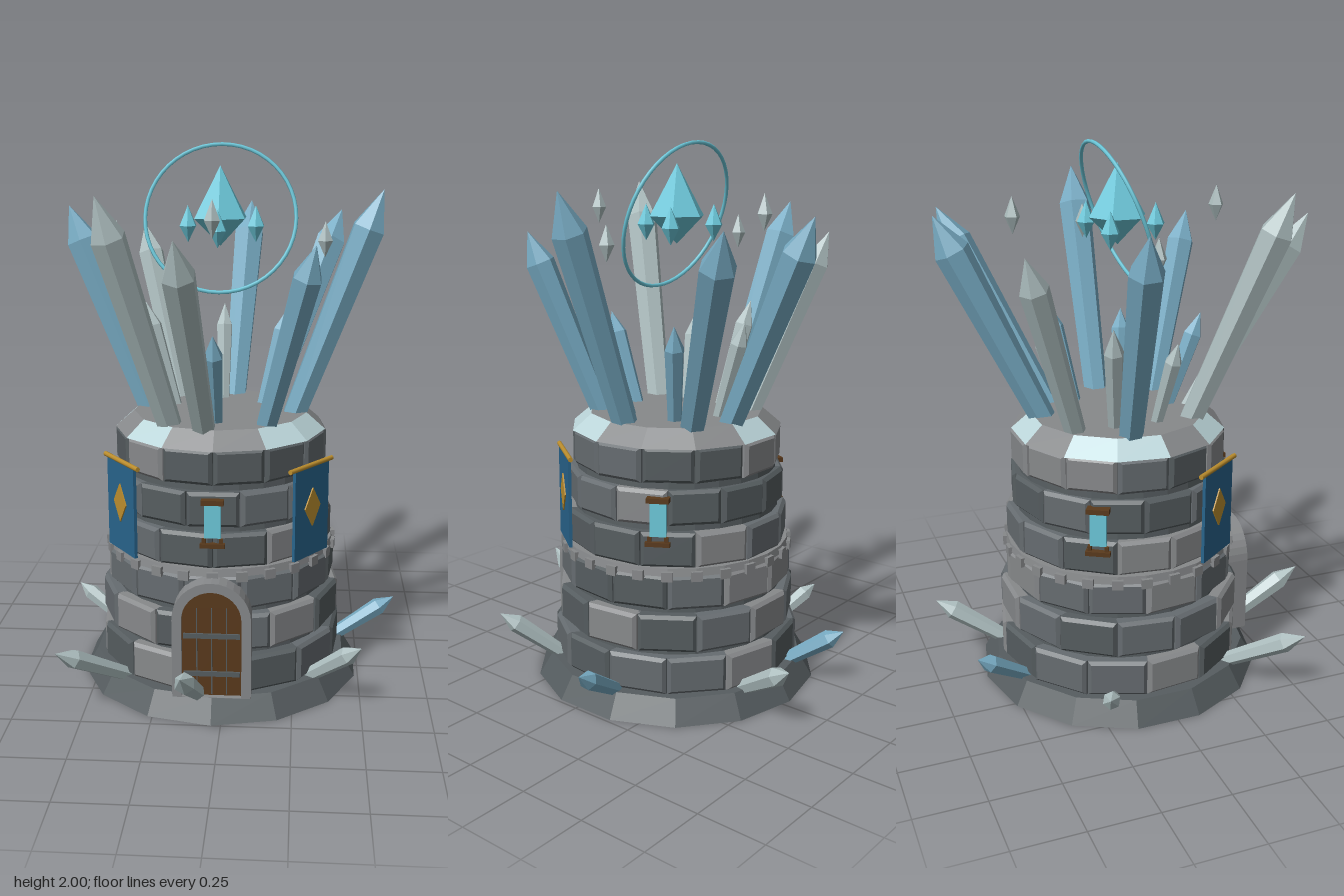
import * as THREE from 'three';

const mat = (name, color) => {
  const m = new THREE.MeshStandardMaterial({ color });
  m.name = name;
  return m;
};
const M = {
  dark: mat('darkStone', 0x565d60),
  mid: mat('midStone', 0x666c70),
  light: mat('lightStone', 0x87898b),
  wood: mat('wood', 0x5a3a1c),
  banner: mat('bannerBlue', 0x28648c),
  gold: mat('gold', 0xbd8f2e),
  glow: mat('glowCyan', 0x6cc8da),
  blue: mat('blueCrystal', 0x78acc4),
  pale: mat('paleCrystal', 0xaebfc0),
  frost: mat('frost', 0xbcd6da),
};
const C = -0.035; // tower axis in x and z

export function createModel() {
  const root = new THREE.Group();
  root.name = 'crystalTower';
  const tower = new THREE.Group();
  tower.name = 'tower';
  tower.position.set(C, 0, C);
  root.add(tower);

  let seed = 7;
  const rand = () => (seed = (seed * 16807) % 2147483647) / 2147483647;
  const flat = (g) => {
    const f = g.index ? g.toNonIndexed() : g;
    f.computeVertexNormals();
    return f;
  };
  const add = (parent, name, geo, material, x = 0, y = 0, z = 0) => {
    const m = new THREE.Mesh(geo, material);
    m.name = name;
    m.position.set(x, y, z);
    parent.add(m);
    return m;
  };
  const box = (w, h, d) => new THREE.BoxGeometry(w, h, d);
  const lathe = (pts, sides) =>
    flat(new THREE.LatheGeometry(pts.map((p) => new THREE.Vector2(...p)), sides));
  // Group on the wall, its local +z pointing outward; angle measured from +z towards +x
  const wallGroup = (name, angle, r) => {
    const g = new THREE.Group();
    g.name = name;
    g.rotation.y = angle;
    g.position.set(Math.sin(angle) * r, 0, Math.cos(angle) * r);
    tower.add(g);
    return g;
  };

  // Plinth and inner core
  add(tower, 'plinth', flat(new THREE.CylinderGeometry(0.485, 0.535, 0.085, 14)), M.dark, 0, 0.0425, 0);
  add(tower, 'core', flat(new THREE.CylinderGeometry(0.365, 0.425, 0.9, 26)), M.dark, 0, 0.525, 0);

  // Bevelled bricks in staggered rows: [bottom, top, radius]
  const rows = [
    [0.085, 0.22, 0.455], [0.24, 0.375, 0.445], [0.395, 0.52, 0.43],
    [0.545, 0.672, 0.415], [0.693, 0.82, 0.402], [0.842, 0.968, 0.39],
  ];
  const perRow = 13, bevel = 0.012;
  rows.forEach(([y0, y1, r], row) => {
    const w = 2 * r * Math.tan(Math.PI / perRow) - 0.012 - 2 * bevel;
    const h = y1 - y0 - 2 * bevel;
    const s = new THREE.Shape();
    s.moveTo(-w / 2, -h / 2).lineTo(w / 2, -h / 2).lineTo(w / 2, h / 2).lineTo(-w / 2, h / 2);
    const geo = new THREE.ExtrudeGeometry(s, {
      depth: 0.035, bevelEnabled: true, bevelThickness: bevel, bevelSize: bevel, bevelSegments: 1,
    });
    geo.translate(0, 0, -0.035 - bevel);
    for (let i = 0; i < perRow; i++) {
      const a = ((i + (row % 2) / 2) / perRow) * Math.PI * 2;
      const t = rand();
      const b = add(tower, 'brick', geo, t < 0.4 ? M.dark : t < 0.78 ? M.mid : M.light);
      const rr = r - rand() * 0.008;
      b.position.set(Math.sin(a) * rr, (y0 + y1) / 2, Math.cos(a) * rr);
      b.rotation.y = a;
    }
  });

  // Belt course with small teeth
  add(tower, 'belt', flat(new THREE.CylinderGeometry(0.425, 0.43, 0.028, 26)), M.light, 0, 0.533, 0);
  for (let i = 0; i < 26; i++) {
    const g = wallGroup('beltTooth', (i / 26) * Math.PI * 2, 0.428);
    add(g, 'tooth', box(0.04, 0.035, 0.022), M.light, 0, 0.52, 0);
  }

  // Sloping roof rim, some segments frosted, around a flat floor
  const segs = 13;
  for (let i = 0; i < segs; i++) {
    const start = (i / segs) * Math.PI * 2;
    const rim = new THREE.CylinderGeometry(0.325, 0.395, 0.06, 1, 1, true, start, (Math.PI * 2) / segs);
    add(tower, 'roofRim', flat(rim), [1, 2, 6, 8, 9, 11].includes(i) ? M.frost : M.light, 0, 0.995, 0);
  }
  add(tower, 'roofFloor', flat(new THREE.CylinderGeometry(0.325, 0.325, 0.04, segs)), M.light, 0, 1.005, 0);

  // Arched door with stone surround
  const arch = (hw, bottom, spring) => {
    const s = new THREE.Shape();
    s.moveTo(-hw, bottom).lineTo(hw, bottom).lineTo(hw, spring);
    s.absarc(0, spring, hw, 0, Math.PI, false);
    s.lineTo(-hw, bottom);
    return s;
  };
  const door = wallGroup('door', 0, 0);
  const frame = arch(0.14, 0.085, 0.38);
  frame.holes.push(arch(0.106, 0.086, 0.38));
  const opts = (depth) => ({ depth, bevelEnabled: false, curveSegments: 8 });
  add(door, 'doorFrame', new THREE.ExtrudeGeometry(frame, opts(0.08)), M.light, 0, 0, 0.41);
  add(door, 'doorLeaf', new THREE.ExtrudeGeometry(arch(0.107, 0.085, 0.38), opts(0.05)), M.wood, 0, 0, 0.42);
  for (const y of [0.17, 0.315]) add(door, 'doorStrap', box(0.2, 0.018, 0.008), M.dark, 0, y, 0.473);
  for (const x of [-0.053, 0, 0.053]) add(door, 'plankGap', box(0.004, 0.33, 0.004), M.dark, x, 0.255, 0.471);

  // Three glowing windows
  for (let i = 0; i < 3; i++) {
    const g = wallGroup('window', (i * Math.PI * 2) / 3, 0.405);
    add(g, 'pane', box(0.058, 0.13, 0.02), M.glow, 0, 0.725, 0.005);
    add(g, 'lintel', box(0.08, 0.018, 0.04), M.wood, 0, 0.792, 0.005);
    add(g, 'sill', box(0.088, 0.016, 0.045), M.wood, 0, 0.635, 0.005);
    for (const x of [-0.03, 0.03]) add(g, 'bracket', box(0.014, 0.02, 0.03), M.wood, x, 0.65, 0.005);
  }

  // Two banners with rod and diamond
  const diamond = new THREE.Shape();
  diamond.moveTo(0, -0.072).lineTo(0.046, 0).lineTo(0, 0.072).lineTo(-0.046, 0);
  for (const side of [-1, 1]) {
    const g = wallGroup('banner', side * 0.935, 0.425);
    add(g, 'cloth', box(0.2, 0.335, 0.012), M.banner, 0, 0.713, 0);
    add(g, 'emblem', new THREE.ExtrudeGeometry(diamond, opts(0.005)), M.gold, 0, 0.73, 0.006);
    const rod = add(g, 'rod', new THREE.CylinderGeometry(0.009, 0.009, 0.25, 8), M.gold, 0, 0.885, 0);
    rod.rotation.z = Math.PI / 2;
  }

  // Six-sided crystal from a base point to its tip
  const up = new THREE.Vector3(0, 1, 0);
  const crystal = (name, base, tip, r, material, shoulder) => {
    const a = new THREE.Vector3(...base), d = new THREE.Vector3(...tip).sub(a), L = d.length();
    const geo = lathe([[0, 0], [r * 0.72, 0], [r, L * shoulder], [0, L]], 6);
    add(root, name, geo, material, ...base).quaternion.setFromUnitVectors(up, d.normalize());
  };
  // Places the foot on a circle round the tower, beneath the tip's bearing
  const ring = (name, list, footR, footY, shoulder) => list.forEach(([x, y, z, r, m]) => {
    const a = Math.atan2(x - C, z - C);
    crystal(name, [C + Math.sin(a) * footR, footY, C + Math.cos(a) * footR], [x, y, z], r, m, shoulder);
  });
  ring('crownCrystal', [
    [0.55, 1.84, -0.01, 0.063, M.blue], [0.31, 1.68, 0.38, 0.054, M.blue],
    [-0.13, 1.72, 0.67, 0.058, M.pale], [-0.405, 1.84, 0.46, 0.062, M.pale],
    [-0.61, 1.77, -0.145, 0.062, M.blue], [-0.37, 1.68, -0.47, 0.052, M.pale],
    [0.05, 1.76, -0.67, 0.064, M.blue], [0.42, 1.73, -0.58, 0.064, M.blue],
  ], 0.265, 0.98, 0.84);
  ring('innerCrystal', [
    [-0.04, 1.36, 0.29, 0.036, M.blue], [0.24, 1.33, 0.08, 0.035, M.blue],
    [0.21, 1.38, -0.22, 0.036, M.blue], [-0.04, 1.38, -0.34, 0.033, M.pale],
    [-0.33, 1.41, -0.16, 0.036, M.pale], [-0.3, 1.33, 0.09, 0.032, M.pale],
  ], 0.19, 1.0, 0.78);
  ring('baseCrystal', [
    [0.648, 0.228, -0.16, 0.034, M.blue], [0.495, 0.26, 0.39, 0.034, M.pale],
    [-0.12, 0.28, 0.705, 0.038, M.pale], [-0.585, 0.255, 0.49, 0.036, M.pale],
    [-0.645, 0.2, -0.29, 0.032, M.pale], [-0.26, 0.22, -0.655, 0.034, M.blue],
    [0.19, 0.24, -0.708, 0.036, M.pale],
  ], 0.42, 0.06, 0.78);

  // Floating gems: one large, three cyan drops, four pale shards
  const gem = (name, r, low, mid, high, sides, m, x, z) =>
    add(tower, name, lathe([[0, low], [r, mid], [0, high]], sides), m, x, 0, z);
  gem('heartGem', 0.105, 1.635, 1.735, 1.92, 6, M.glow, 0, 0);
  for (let i = 0; i < 3; i++) {
    const a = (i * Math.PI * 2) / 3;
    gem('dropGem', 0.034, 1.64, 1.7, 1.775, 6, M.glow, Math.sin(a) * 0.145, Math.cos(a) * 0.145);
  }
  for (let i = 0; i < 4; i++) {
    const a = (i * Math.PI) / 2, y = i % 2 ? 1.595 : 1.695;
    gem('shard', 0.028, y, y + 0.06, y + 0.13, 5, M.pale, Math.sin(a) * 0.38, Math.cos(a) * 0.38);
  }

  // Tilted halo
  const halo = add(tower, 'halo', new THREE.TorusGeometry(0.274, 0.007, 6, 48), M.glow, 0, 1.735, 0);
  halo.rotation.x = -0.345;

  return root;
}
